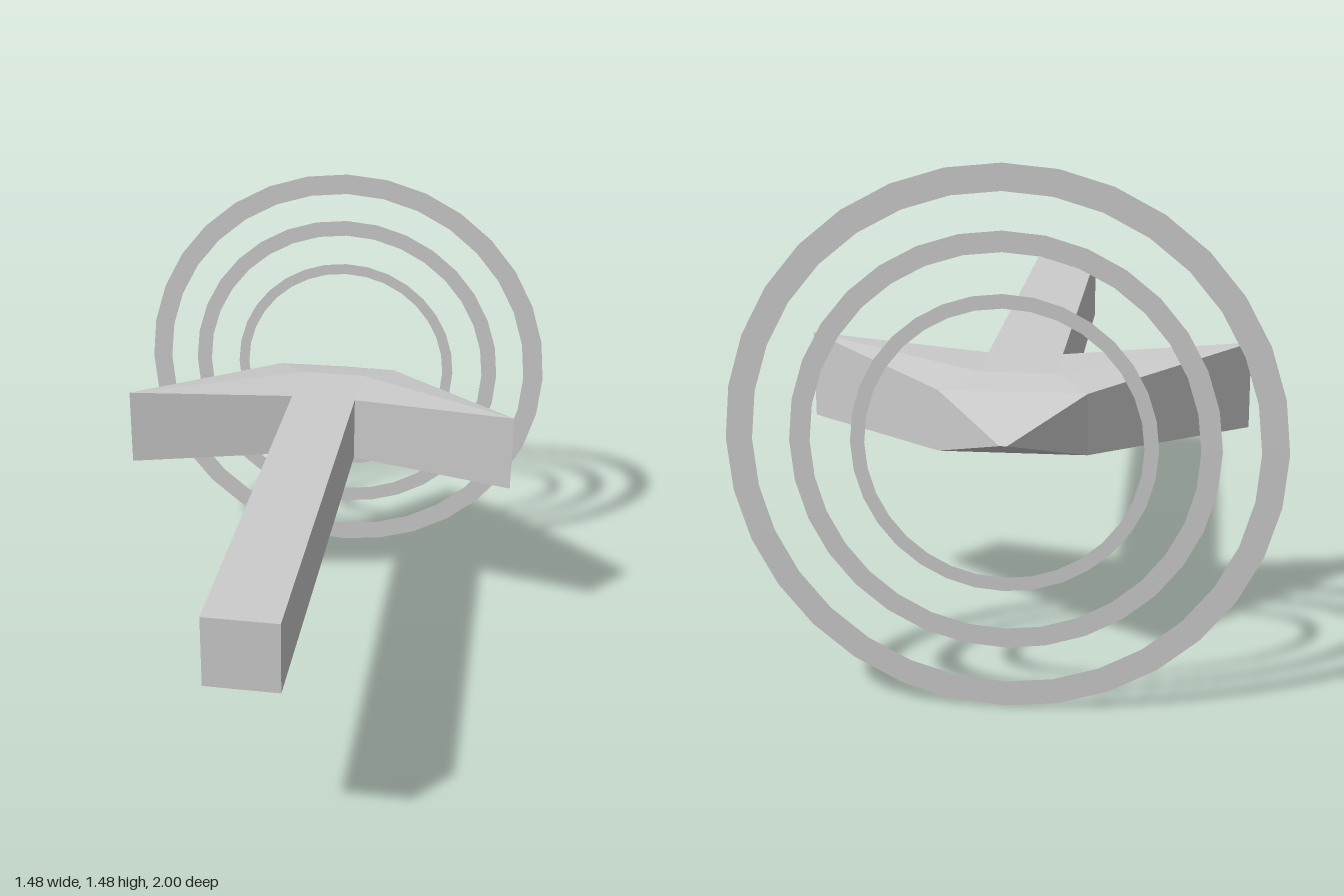
import * as THREE from 'three';

const CY = 0.74; // height of the arrow's axis

// Mirrors the upper right quarter of the head into a full solid
function buildHead() {
  const T0 = [0, 0, -1], T = [0.01, 0, -1];
  const A0 = [0, 0.087, -0.79], A = [0.205, 0.087, -0.79], A1 = [0.205, 0, -0.79];
  const B0 = [0, 0.109, -0.67], B = [0.109, 0.109, -0.67];
  const C0 = [0, 0.109, -0.455], C = [0.109, 0.109, -0.455], C1 = [0.109, 0, -0.455];
  const D = [0.656, 0.13, -0.345], D1 = [0.656, 0, -0.345];
  const faces = [
    [T0, A0, A, T],   // steep bevel to the tip
    [A0, B0, B, A],   // shallow bevel
    [B0, C0, C, B],   // flat centre
    [B, C, D, A],     // barb top
    [T, A, A1],       // tip side
    [A, D, D1, A1],   // outer side
    [C, C1, D1, D],   // rear of barb
  ];
  const pos = [];
  for (const sx of [1, -1]) for (const sy of [1, -1]) {
    for (const f of faces) {
      const loop = sx * sy > 0 ? f : [f[0], ...f.slice(1).reverse()];
      for (let i = 1; i < loop.length - 1; i++) {
        for (const p of [loop[0], loop[i], loop[i + 1]]) pos.push(p[0] * sx, p[1] * sy, p[2]);
      }
    }
  }
  const g = new THREE.BufferGeometry();
  g.setAttribute('position', new THREE.Float32BufferAttribute(pos, 3));
  g.computeVertexNormals();
  return g;
}

export function createModel() {
  const model = new THREE.Group();
  model.name = 'arrowAndTarget';
  const solid = new THREE.MeshStandardMaterial({ color: 0xcccccc, flatShading: true });
  const sheet = new THREE.MeshStandardMaterial({ color: 0xcccccc, side: THREE.DoubleSide });

  const add = (name, geometry, material, z = 0) => {
    const mesh = new THREE.Mesh(geometry, material);
    mesh.name = name;
    mesh.position.set(0, CY, z);
    model.add(mesh);
  };

  // Square shaft, front end at z = 1
  add('shaft', new THREE.BoxGeometry(0.218, 0.218, 1.455), solid, 0.2725);
  add('arrowHead', buildHead(), solid);

  // Flat concentric rings around the tip
  [['outerRing', 0.668, 0.739], ['middleRing', 0.513, 0.568], ['innerRing', 0.367, 0.405]]
    .forEach(([name, inner, outer]) => add(name, new THREE.RingGeometry(inner, outer, 32), sheet, -1));

  return model;
}
